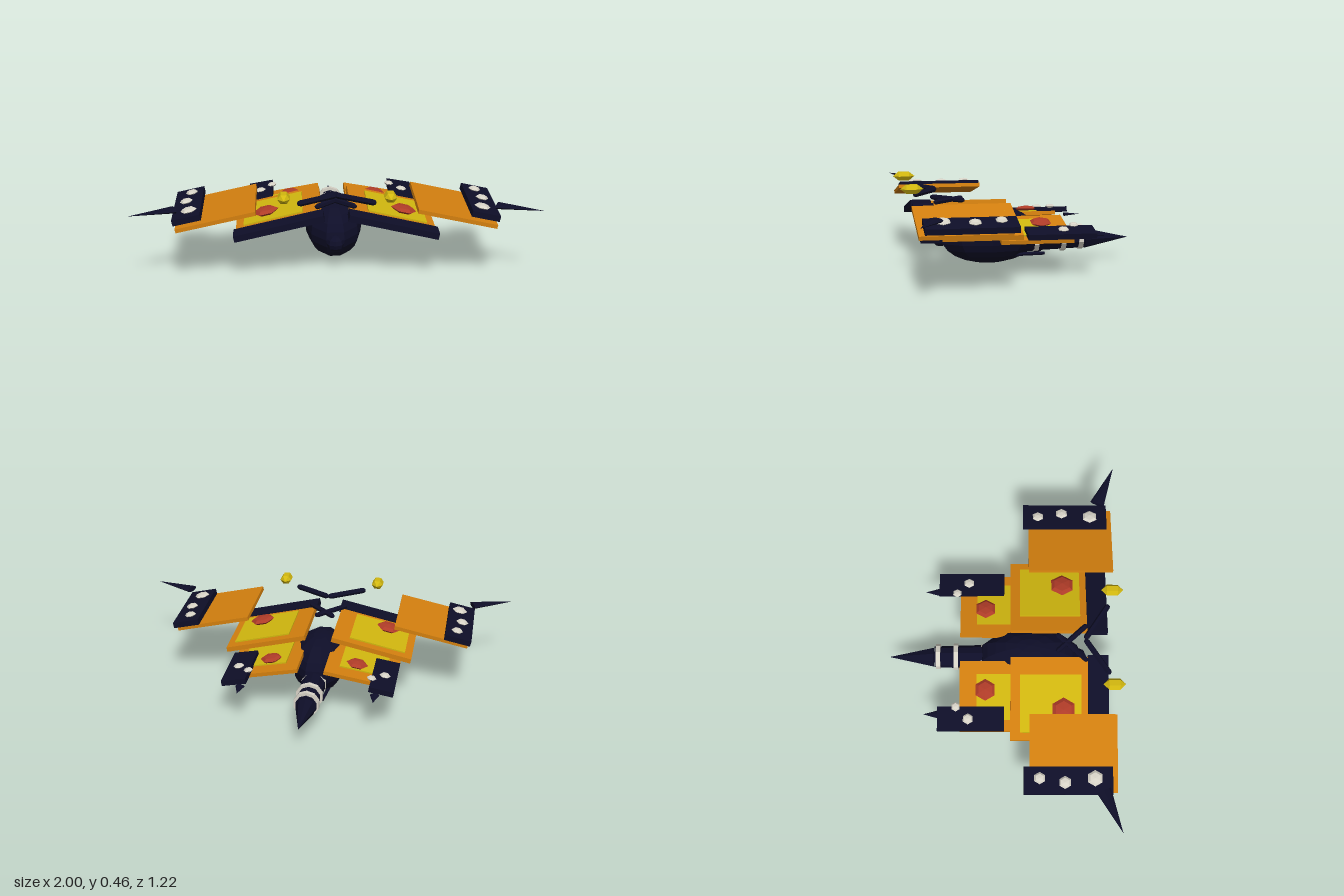
import * as THREE from 'three';

const material = (name, color) => {
  const m = new THREE.MeshStandardMaterial({ color, flatShading: true });
  m.name = name;
  return m;
};

export function createModel() {
  const root = new THREE.Group();
  root.name = 'butterfly';
  const navy = material('navy', 0x0e0e28);
  const orange = material('orange', 0xd4800f);
  const yellow = material('yellow', 0xd2b80f);
  const red = material('red', 0xb03c28);
  const white = material('white', 0xd8d4c8);

  const add = (parent, name, geo, mat, x, y, z) => {
    const mesh = new THREE.Mesh(geo, mat);
    mesh.name = name;
    mesh.position.set(x, y, z);
    parent.add(mesh);
    return mesh;
  };
  const box = (parent, name, mat, w, h, d, x, y, z) =>
    add(parent, name, new THREE.BoxGeometry(w, h, d), mat, x, y, z);
  const blob = (parent, name, mat, rx, ry, rz, x, y, z, seg = 6, rings = 4) =>
    add(parent, name, new THREE.SphereGeometry(1, seg, rings).scale(rx, ry, rz), mat, x, y, z);

  // Rod between two points
  const rod = (name, a, b, r) => {
    const from = new THREE.Vector3(...a), to = new THREE.Vector3(...b);
    const dir = to.clone().sub(from), mid = from.clone().add(to).multiplyScalar(0.5);
    const mesh = add(root, name, new THREE.CapsuleGeometry(r, dir.length() - 2 * r, 2, 6), navy, mid.x, mid.y, mid.z);
    mesh.quaternion.setFromUnitVectors(new THREE.Vector3(0, 1, 0), dir.normalize());
  };

  // Spike lying flat: base centre, heading in the xz plane, length, half width, half height
  const spike = (name, x, y, z, heading, len, rw, rh) => {
    const geo = new THREE.ConeGeometry(1, len, 8).translate(0, len / 2, 0);
    geo.rotateX(Math.PI / 2).scale(rw, rh, 1);
    add(root, name, geo, navy, x, y, z).rotation.y = heading;
  };

  // Thorax and head
  blob(root, 'thorax', navy, 0.145, 0.15, 0.27, 0, 0.155, 0.135, 10, 12);
  blob(root, 'head', navy, 0.045, 0.042, 0.045, 0, 0.14, 0.39, 8, 6);

  // Abdomen, rings and tail point
  const abdomen = new THREE.CylinderGeometry(0.067, 0.055, 0.36, 10).rotateX(Math.PI / 2);
  add(root, 'abdomen', abdomen, navy, 0, 0.125, -0.19).rotation.y = 0;
  for (const [z, r, y] of [[-0.112, 0.066, 0.122], [-0.256, 0.071, 0.127], [-0.35, 0.067, 0.13]]) {
    const ring = new THREE.CylinderGeometry(r, r, 0.024, 10).rotateX(Math.PI / 2);
    add(root, 'abdomenRing', ring, white, 0, y, z);
  }
  spike('tailPoint', 0, 0.12, -0.375, Math.PI, 0.235, 0.053, 0.053);

  for (const s of [1, -1]) {
    const side = s > 0 ? 'left' : 'right';
    const panel = (name, x, y, z, tilt) => {
      const g = new THREE.Group();
      g.name = side + name;
      g.position.set(s * x, y, z);
      g.rotation.z = -s * tilt;
      root.add(g);
      return g;
    };

    // Inner forewing
    const inner = panel('InnerForewing', 0.28, 0.268, 0.232, 0.225);
    box(inner, 'innerForewingPanel', orange, 0.43, 0.025, 0.4, 0, 0, 0);
    box(inner, 'innerForewingPatch', yellow, 0.3, 0.008, 0.315, s * 0.025, 0.0155, 0.008);
    box(inner, 'innerForewingFrontEdge', navy, 0.45, 0.032, 0.106, 0, 0.003, 0.253);
    blob(inner, 'innerForewingSpot', red, 0.065, 0.018, 0.065, s * 0.06, 0.034, 0.073);

    // Outer forewing
    const outer = panel('OuterForewing', 0.585, 0.322, 0.35, 0.215);
    box(outer, 'outerForewingPanel', orange, 0.395, 0.02, 0.443, 0, 0, 0);
    box(outer, 'outerForewingEdge', navy, 0.14, 0.03, 0.445, s * 0.137, 0.033, -0.028);
    for (const [x, z, r] of [[0.717, 0.178, 0.031], [0.738, 0.305, 0.033], [0.717, 0.455, 0.041]])
      blob(outer, 'outerForewingDot', white, r, 0.014, r, s * (x - 0.592), 0.053, z - 0.35);
    spike(side + 'ForewingSpike', s * 0.785, 0.364, 0.495, s * 1.17, 0.232, 0.038, 0.014);

    // Hindwing
    const hind = panel('Hindwing', 0.25, 0.217, -0.048, 0.175);
    box(hind, 'hindwingPanel', orange, 0.37, 0.02, 0.366, 0, 0, 0);
    box(hind, 'hindwingPatch', yellow, 0.24, 0.008, 0.27, s * 0.005, 0.013, 0.04);
    box(hind, 'hindwingEdge', navy, 0.127, 0.028, 0.345, s * 0.122, 0.023, -0.125);
    blob(hind, 'hindwingSpot', red, 0.057, 0.017, 0.057, s * -0.03, 0.028, -0.05);
    for (const [x, z, r] of [[0.315, -0.25, 0.025], [0.378, -0.187, 0.029]])
      blob(hind, 'hindwingDot', white, r, 0.012, r, s * (x - 0.255), 0.041, z + 0.048);
    spike(side + 'HindwingSpike', s * 0.342, 0.195, -0.335, Math.PI, 0.085, 0.024, 0.01);

    // Two-piece antenna with a bulb
    rod(side + 'AntennaBase', [s * -0.05, 0.345, 0.27], [s * 0.1, 0.345, 0.43], 0.014);
    rod(side + 'AntennaArm', [0, 0.4, 0.415], [s * 0.19, 0.4, 0.54], 0.015);
    const bulb = new THREE.CapsuleGeometry(0.03, 0.055, 1, 6).scale(1, 1, 0.85).rotateX(Math.PI / 2);
    add(root, side + 'AntennaBulb', bulb, yellow, s * 0.256, 0.438, 0.557);

    // Folded leg
    rod(side + 'Leg', [s * 0.085, 0.055, 0.2], [s * 0.05, 0.055, -0.155], 0.01);
  }
  return root;
}
